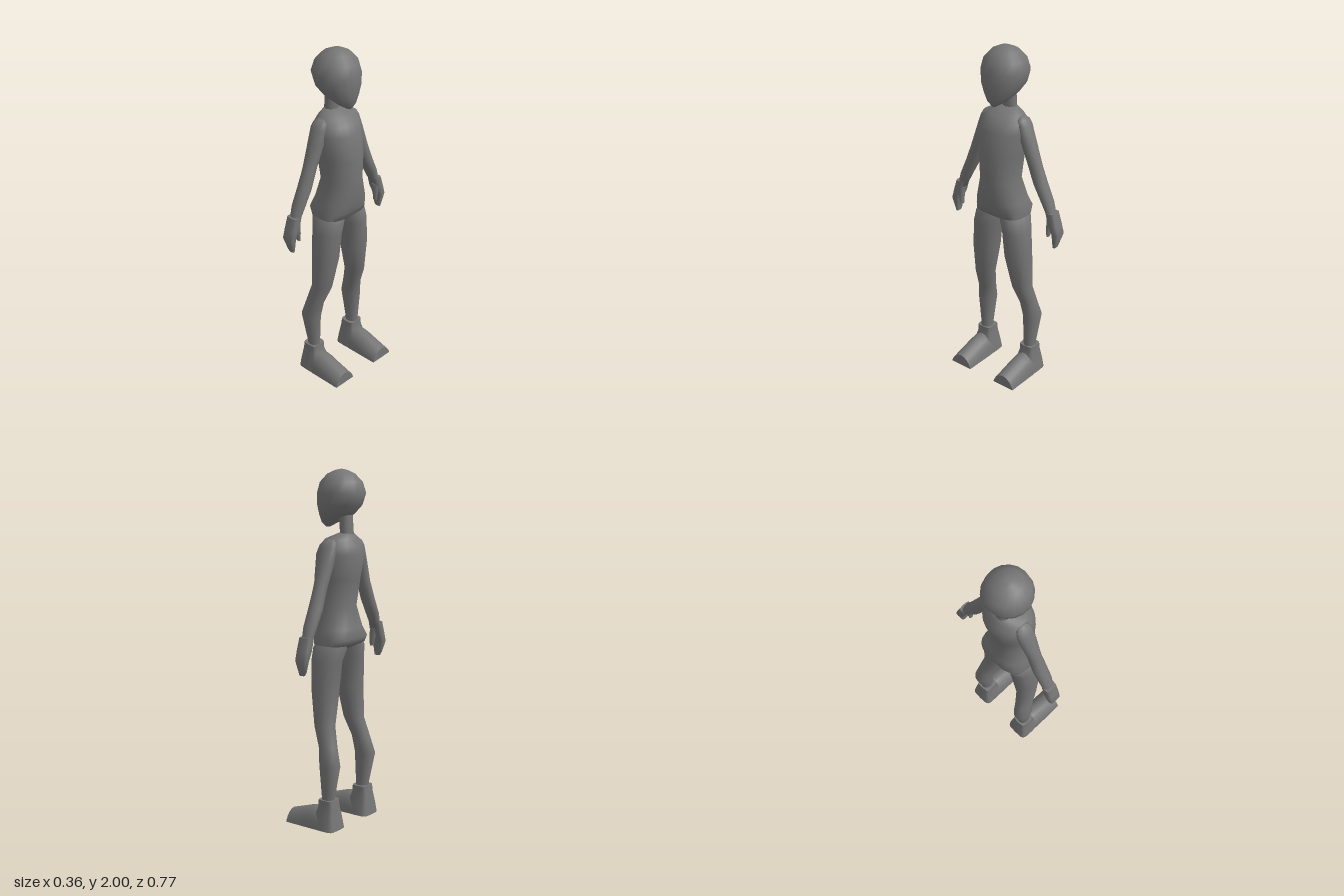
import * as THREE from 'three';
import { toCreasedNormals } from 'three/addons/utils/BufferGeometryUtils.js';

const material = new THREE.MeshStandardMaterial({ color: 0x757575 });

// Skin a stack of equal-length point rings and cap both ends
function loft(name, rings, crease = 1.15) {
  const n = rings[0].length;
  const pos = rings.flat(2);
  const index = [];
  for (let i = 0; i < rings.length - 1; i++) {
    for (let j = 0; j < n; j++) {
      const a = i * n + j, b = i * n + (j + 1) % n;
      index.push(a, b, b + n, a, b + n, a + n);
    }
  }
  [0, rings.length - 1].forEach((r, end) => {
    const c = pos.length / 3;
    for (let k = 0; k < 3; k++) pos.push(rings[r].reduce((s, p) => s + p[k], 0) / n);
    for (let j = 0; j < n; j++) {
      const a = r * n + j, b = r * n + (j + 1) % n;
      end ? index.push(c, a, b) : index.push(c, b, a);
    }
  });
  const geo = new THREE.BufferGeometry();
  geo.setAttribute('position', new THREE.Float32BufferAttribute(pos, 3));
  geo.setIndex(index);
  const mesh = new THREE.Mesh(toCreasedNormals(geo, crease), material);
  mesh.name = name;
  return mesh;
}

// Level oval ring: height, x range, z range; power below 1 squares it off
function oval([y, x0, x1, z0, z1], n = 14, power = 1) {
  const bend = v => Math.sign(v) * Math.abs(v) ** power;
  return Array.from({ length: n }, (_, j) => {
    const t = (j / n) * Math.PI * 2;
    return [(x0 + x1) / 2 + bend(Math.cos(t)) * (x1 - x0) / 2, y,
      (z0 + z1) / 2 - bend(Math.sin(t)) * (z1 - z0) / 2];
  });
}

// Upright arch ring with a flat base: x, height, half width, peak sharpness
function arch([x, h, w, sharp], zc, n = 10) {
  return Array.from({ length: n + 1 }, (_, j) => {
    const t = (j / n) * Math.PI;
    return [x, h * Math.sin(t) ** sharp, zc - w * Math.cos(t)];
  });
}

// Rows on the centre line: height, x range, half width, optional power
const centred = (name, rows, n) =>
  loft(name, rows.map(([y, a, b, w, power]) => oval([y, a, b, -w, w], n, power)));

// Rows off the centre line, mirrored for side -1
const sided = (name, rows, side, n, power) =>
  loft(name, rows.map(([y, a, b, c, d]) =>
    oval(side > 0 ? [y, a, b, c, d] : [y, a, b, -d, -c], n, power)));

export function createModel() {
  const model = new THREE.Group();
  model.name = 'figure';

  model.add(centred('head', [
    [1.685, 0.035, 0.065, 0.012], [1.71, -0.01, 0.08, 0.052], [1.755, -0.11, 0.091, 0.092],
    [1.805, -0.157, 0.096, 0.121], [1.87, -0.178, 0.094, 0.133], [1.93, -0.158, 0.077, 0.117],
    [1.975, -0.115, 0.037, 0.075], [1.995, -0.07, -0.01, 0.033], [2, -0.045, -0.035, 0.005],
  ], 18));

  model.add(centred('neck', [
    [1.6, -0.12, -0.04, 0.045], [1.66, -0.115, -0.042, 0.042], [1.79, -0.105, -0.03, 0.042],
  ]));

  model.add(centred('torso', [
    [1.015, -0.09, 0.04, 0.055, 0.7], [1.04, -0.136, 0.076, 0.154, 0.62],
    [1.075, -0.157, 0.086, 0.155, 0.68], [1.13, -0.143, 0.108, 0.143, 0.85],
    [1.25, -0.12, 0.114, 0.114], [1.4, -0.143, 0.116, 0.125],
    [1.54, -0.166, 0.095, 0.143], [1.59, -0.15, 0.07, 0.135], [1.625, -0.13, 0.035, 0.108],
    [1.655, -0.112, -0.035, 0.048],
  ], 22));

  for (const side of [1, -1]) {
    const label = side > 0 ? 'left' : 'right';

    model.add(sided(label + 'Arm', [
      [1.08, -0.08, -0.02, 0.302, 0.35], [1.17, -0.09, -0.01, 0.255, 0.325],
      [1.26, -0.091, -0.008, 0.203, 0.285], [1.365, -0.086, -0.011, 0.16, 0.245],
      [1.5, -0.098, 0, 0.11, 0.193], [1.58, -0.1, 0, 0.095, 0.162],
      [1.61, -0.092, -0.006, 0.092, 0.143], [1.625, -0.07, -0.03, 0.095, 0.12],
    ], side));

    // Mitten hand and separate thumb
    model.add(sided(label + 'Hand', [
      [0.912, -0.06, -0.027, 0.347, 0.362], [0.93, -0.07, -0.024, 0.345, 0.366],
      [0.995, -0.087, -0.014, 0.341, 0.386], [1.045, -0.088, -0.012, 0.316, 0.372],
      [1.118, -0.086, -0.014, 0.294, 0.35],
    ], side, 12, 0.45));
    model.add(sided(label + 'Thumb', [
      [0.973, -0.045, -0.017, 0.306, 0.322], [1.02, -0.052, -0.013, 0.304, 0.33],
      [1.075, -0.06, -0.016, 0.3, 0.34],
    ], side, 8));

    model.add(sided(label + 'Leg', [
      [0.14, -0.112, -0.035, 0.13, 0.2], [0.19, -0.115, -0.035, 0.13, 0.2],
      [0.37, -0.152, -0.025, 0.12, 0.22], [0.47, -0.122, -0.012, 0.107, 0.207],
      [0.585, -0.09, 0.032, 0.08, 0.195], [0.78, -0.098, 0.062, 0.038, 0.195],
      [0.95, -0.11, 0.074, 0.025, 0.18], [1.02, -0.128, 0.075, 0.003, 0.165],
      [1.08, -0.12, 0.05, 0.01, 0.12],
    ], side));

    // Shoe: ankle cuff over a square heel, and a wedge running to a ridged toe
    const shoe = new THREE.Group();
    shoe.name = label + 'Shoe';
    shoe.add(sided('cuff', [
      [0, -0.146, 0.01, 0.091, 0.235], [0.06, -0.138, 0, 0.1, 0.226],
      [0.13, -0.127, -0.027, 0.115, 0.211], [0.172, -0.122, -0.03, 0.116, 0.21],
    ], side, 16, 0.4));
    shoe.add(loft('toe', [
      [-0.06, 0.122, 0.066, 0.8], [-0.02, 0.124, 0.072, 0.8],
      [0.03, 0.118, 0.072, 0.9], [0.177, 0.07, 0.072, 1.4],
    ].map(row => arch(row, side * 0.163)), 0.8));
    model.add(shoe);
  }
  return model;
}
